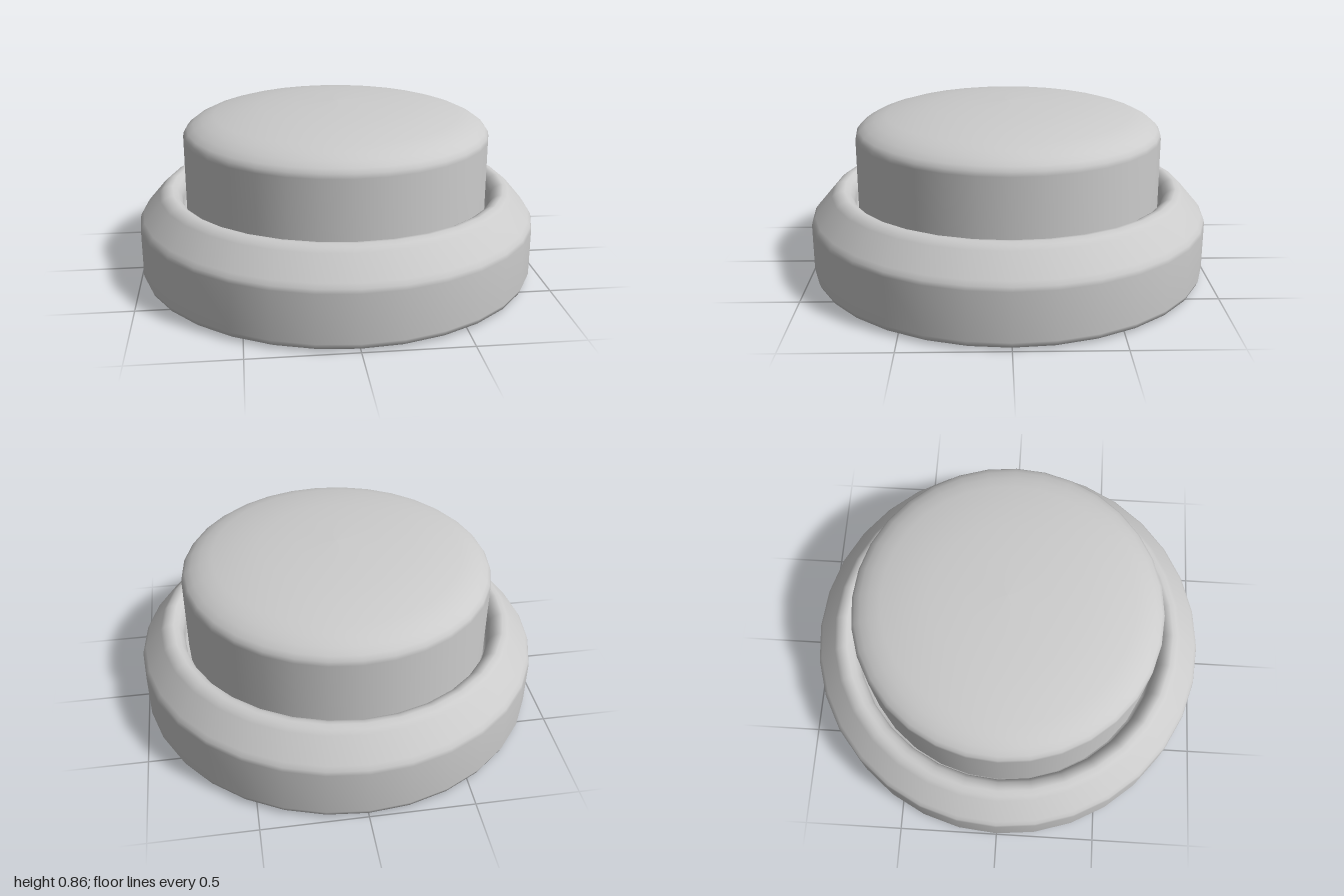
import * as THREE from 'three';

const SIDES = 32;
const material = new THREE.MeshStandardMaterial({ color: 0xcccccc });

// Smooth turned part from [radius, height] pairs, listed from the bottom outwards and up
function turned(name, profile) {
  const points = profile.map(([r, y]) => new THREE.Vector2(r, y));
  const mesh = new THREE.Mesh(new THREE.LatheGeometry(points, SIDES), material);
  mesh.name = name;
  return mesh;
}

export function createModel() {
  const model = new THREE.Group();
  model.name = 'pushButton';

  // Housing ring: bevelled foot, straight wall, sloped shoulder, rounded lip falling into the gap
  model.add(turned('housing', [
    [0.965, 0], [0.99, 0.015], [1, 0.04], [1, 0.275], [0.995, 0.295], [0.98, 0.316],
    [0.895, 0.415], [0.875, 0.433], [0.85, 0.442], [0.83, 0.44],
    [0.805, 0.425], [0.788, 0.4], [0.78, 0.37], [0.78, 0.3], [0.75, 0.3],
  ]));

  // Flat underside
  const underside = new THREE.Mesh(new THREE.CircleGeometry(0.965, SIDES), material);
  underside.name = 'underside';
  underside.rotation.x = Math.PI / 2;
  model.add(underside);

  // Plunger: straight wall with a rounded rim and a shallow domed top
  model.add(turned('plunger', [
    [0.764, 0.28], [0.764, 0.7], [0.76, 0.722], [0.745, 0.742], [0.715, 0.765],
    [0.67, 0.787], [0.61, 0.806], [0.5, 0.828], [0.38, 0.845], [0.2, 0.859], [0, 0.864],
  ]));

  return model;
}
